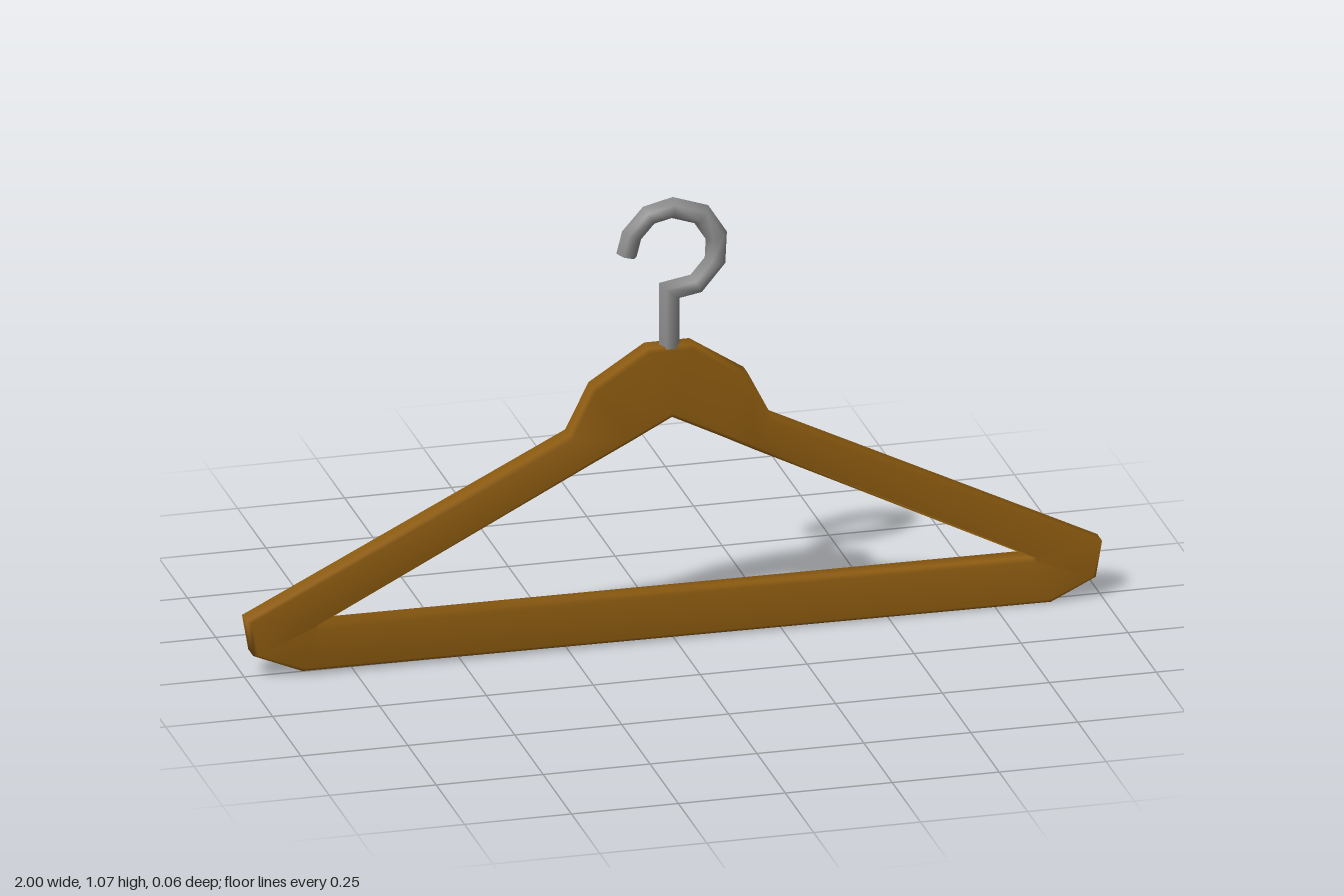
import * as THREE from 'three';
import { mergeVertices } from 'three/addons/utils/BufferGeometryUtils.js';

// Skins a list of equal-sized point loops, either as a ring or with capped ends.
function loft(sections, ring) {
  const n = sections[0].length, count = sections.length;
  const positions = sections.flat(2);
  const index = [];
  for (let i = 0; i < (ring ? count : count - 1); i++) {
    for (let j = 0; j < n; j++) {
      const k = (j + 1) % n, next = (i + 1) % count;
      const a = i * n + j, b = i * n + k, c = next * n + k, d = next * n + j;
      index.push(a, b, c, a, c, d);
    }
  }
  let geometry = new THREE.BufferGeometry();
  if (!ring) {
    // separate end vertices keep the caps sharp
    const start = positions.length / 3;
    positions.push(...sections[0].flat(), ...sections[count - 1].flat());
    for (let j = 1; j < n - 1; j++) {
      index.push(start, start + j + 1, start + j);
      index.push(start + n, start + n + j, start + n + j + 1);
    }
  }
  geometry.setAttribute('position', new THREE.Float32BufferAttribute(positions, 3));
  geometry.setIndex(index);
  if (ring) geometry = mergeVertices(geometry, 1e-4);
  geometry.computeVertexNormals();
  return geometry;
}

// Wooden triangle: each station is [outer x, outer y, inner x, inner y].
function frameGeometry() {
  const stations = [
    [-0.87, 0.012, -0.83, 0.121],
    [-0.985, 0.06, -0.83, 0.121],
    [-1, 0.145, -0.83, 0.121],
    [-0.245, 0.52, -0.19, 0.447],
    [-0.19, 0.63, -0.1, 0.492],
    [-0.06, 0.713, -0.005, 0.541],
    [0.045, 0.713, -0.005, 0.541],
    [0.172, 0.63, 0.1, 0.488],
    [0.228, 0.52, 0.19, 0.441],
    [1, 0.138, 0.835, 0.115],
    [0.985, 0.052, 0.835, 0.115],
    [0.88, 0.002, 0.835, 0.115],
  ];
  const bevel = 0.01;
  const sections = stations.map(([ox, oy, ix, iy]) => {
    const length = Math.hypot(ox - ix, oy - iy);
    const at = (distance, side) => {
      const f = distance / length;
      const x = ix + (ox - ix) * f, y = iy + (oy - iy) * f;
      return [x, y, 0.001 + side * (0.0315 - 0.007 * y)];
    };
    return [
      at(length, -0.7), at(length, 0.7), at(length - bevel, 1), at(bevel, 1),
      at(0, 0.7), at(0, -0.7), at(bevel, -1), at(length - bevel, -1),
    ];
  });
  return loft(sections, true);
}

// Six-sided metal wire with mitred bends.
function hookGeometry() {
  const radius = 0.0245, sides = 6;
  const path = [
    [-0.007, 0.69], [-0.007, 0.842], [0.056, 0.853], [0.1, 0.905], [0.103, 0.965],
    [0.068, 1.02], [0, 1.043], [-0.055, 1.03], [-0.095, 0.985], [-0.107, 0.938],
  ].map(([x, y]) => new THREE.Vector2(x, y));
  const sections = path.map((p, i) => {
    const before = p.clone().sub(path[Math.max(i - 1, 0)]).normalize();
    const after = path[Math.min(i + 1, path.length - 1)].clone().sub(p).normalize();
    const tangent = before.clone().add(after).normalize();
    const along = i === 0 ? after : before;
    const mitre = radius / Math.max(tangent.dot(along), 0.5);
    const loop = [];
    for (let j = 0; j < sides; j++) {
      const a = (j / sides) * Math.PI * 2;
      const off = Math.cos(a) * mitre;
      loop.push([p.x - tangent.y * off, p.y + tangent.x * off, 0.003 + Math.sin(a) * radius]);
    }
    return loop;
  });
  return loft(sections, false);
}

export function createModel() {
  const wood = new THREE.MeshStandardMaterial({ color: 0x8b5a0f });
  wood.name = 'brown wood';
  const metal = new THREE.MeshStandardMaterial({ color: 0x8c8c8c });
  metal.name = 'grey metal';

  const group = new THREE.Group();
  group.name = 'coatHanger';

  const frame = new THREE.Mesh(frameGeometry(), wood);
  frame.name = 'woodenFrame';
  const hook = new THREE.Mesh(hookGeometry(), metal);
  hook.name = 'hook';
  group.add(frame, hook);
  return group;
}
